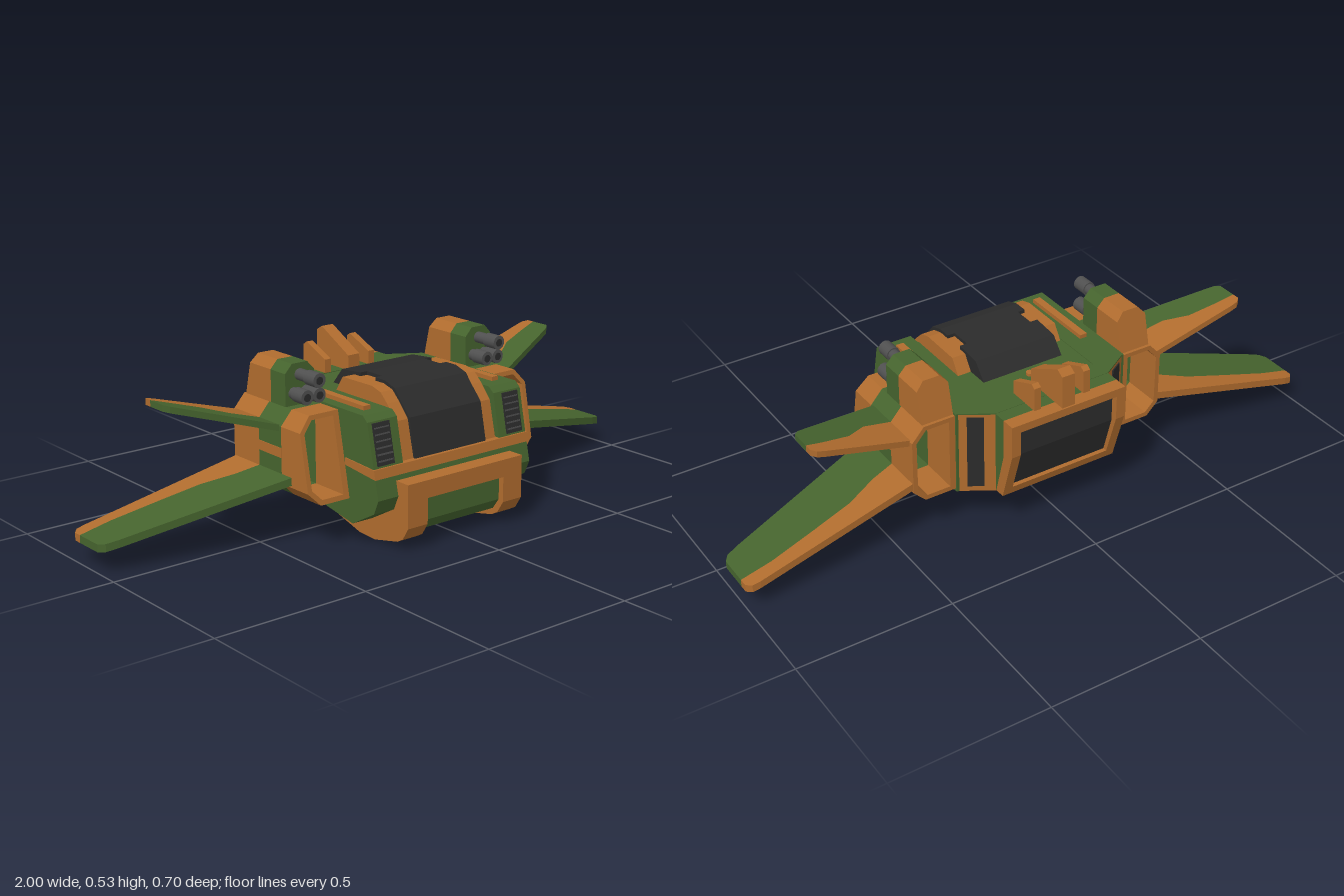
import * as THREE from 'three';

const paint = (name, color) => {
  const m = new THREE.MeshStandardMaterial({ color });
  m.name = name;
  return m;
};

export function createModel() {
  const green = paint('camouflage green', 0x46642e);
  const orange = paint('camouflage orange', 0xb06c2e);
  const dark = paint('dark glass', 0x2b2b2b);
  const gunmetal = paint('gunmetal', 0x505050);
  const root = new THREE.Group();
  root.name = 'gunship';

  const add = (name, geo, mat, parent = root) => {
    const mesh = new THREE.Mesh(geo, mat);
    mesh.name = name;
    parent.add(mesh);
    return mesh;
  };
  const shapeOf = (pts, sx = 1, sy = 1) =>
    new THREE.Shape(pts.map(([a, b]) => new THREE.Vector2(a * sx, b * sy)));
  const extrude = (shape, depth) => new THREE.ExtrudeGeometry(shape, { depth, bevelEnabled: false });
  // Side profile of [z, y] points, drawn out from x0 to x1
  const across = (pts, x0, x1) => extrude(shapeOf(pts, -1), x1 - x0).rotateY(Math.PI / 2).translate(x0, 0, 0);
  // Plan of [x, z] points, drawn up from y0 to y1
  const upward = (pts, y0, y1) => extrude(shapeOf(pts, 1, -1), y1 - y0).rotateX(-Math.PI / 2).translate(0, y0, 0);
  const box = (w, h, d, x, y, z) => new THREE.BoxGeometry(w, h, d).translate(x, y, z);

  // Hull: a centre recessed for the cockpit, with full-height flanks
  const belly = [[-0.205, 0.13], [0.0, 0.098], [0.19, 0.065], [0.29, 0.12], [0.31, 0.165], [0.29, 0.25]];
  add('hullCentre', across([...belly, [0.2, 0.25], [0.2, 0.405], [-0.205, 0.405]], -0.19, 0.19), green);
  add('noseBand', across([[0.294, 0.255], [0.3, 0.226], [0.16, 0.24], [0.16, 0.262]], -0.303, 0.303), orange);

  // Cockpit frame and wraparound canopy
  add('canopyFrame', across([[0.19, 0.25], [0.278, 0.25], [0.25, 0.37], [0.21, 0.415], [0.18, 0.443],
    [0.14, 0.454], [0.0, 0.452], [-0.035, 0.4]], -0.185, 0.185), orange);
  const glass = [[0.19, 0.25], [0.285, 0.25], [0.258, 0.375], [0.22, 0.415], [0.19, 0.45], [0.145, 0.464]];
  add('canopyFront', across([...glass, [0.1, 0.464], [0.1, 0.4]], -0.14, 0.14), dark);
  add('canopyWaist', across([[0.1, 0.4], [0.1, 0.464], [0.03, 0.464], [0.03, 0.4]], -0.115, 0.115), dark);
  add('canopyRear', across([[0.03, 0.4], [0.03, 0.464], [-0.06, 0.456], [-0.108, 0.4]], -0.14, 0.14), dark);

  // Chin between the skids
  add('chin', across([[0.3, 0.2], [0.335, 0.2], [0.335, 0.08], [0.31, 0.045], [0.2, 0.018], [0.13, 0.02],
    [-0.035, 0.062], [-0.035, 0.11]], -0.15, 0.15), green);
  add('chinBar', across([[0.28, 0.21], [0.354, 0.21], [0.354, 0.155], [0.3, 0.155]], -0.15, 0.15), orange);

  // Tapered rear section and exhaust housing
  const taper = [[-0.3, -0.2], [0.3, -0.2], [0.2, -0.262], [-0.2, -0.262]];
  add('rearTaper', upward(taper, 0.13, 0.403), orange);
  add('rearDeck', upward(taper, 0.403, 0.407), green);
  add('exhaustCollar', across([[-0.26, 0.133], [-0.265, 0.133], [-0.305, 0.28], [-0.305, 0.406],
    [-0.26, 0.406]], -0.2, 0.2), green);
  add('exhaustTopLip', across([[-0.305, 0.38], [-0.305, 0.406], [-0.35, 0.406], [-0.35, 0.38]], -0.17, 0.17), orange);
  add('exhaustBottomLip', across([[-0.265, 0.133], [-0.3, 0.133], [-0.308, 0.16], [-0.272, 0.16]], -0.17, 0.17), orange);
  add('exhaustScreen', across([[-0.27, 0.16], [-0.293, 0.16], [-0.328, 0.285], [-0.328, 0.38],
    [-0.3, 0.38], [-0.3, 0.28]], -0.17, 0.17), dark);
  add('centreFin', across([[-0.18, 0.4], [-0.18, 0.455], [-0.315, 0.525], [-0.34, 0.51], [-0.345, 0.4]],
    -0.022, 0.022), orange);
  add('deckCap', new THREE.CylinderGeometry(0.012, 0.012, 0.012, 12).translate(0, 0.408, -0.14), orange);

  // Intake pod section with a through tunnel; frontSlope leans its front edge back
  const podSection = (z0, z1, frontSlope = 0) => {
    const shape = shapeOf([[0.3, 0.14], [0.405, 0.14], [0.445, 0.18], [0.445, 0.355], [0.405, 0.4], [0.3, 0.4]]);
    shape.holes.push(new THREE.Path([[0.32, 0.155], [0.32, 0.386], [0.398, 0.386], [0.43, 0.35],
      [0.43, 0.187], [0.398, 0.155]].map(([x, y]) => new THREE.Vector2(x, y))));
    const geo = extrude(shape, z1 - z0).translate(0, 0, z0);
    const p = geo.attributes.position;
    for (let i = 0; i < p.count; i++) {
      if (p.getZ(i) > z1 - 0.001) p.setZ(i, z1 - frontSlope * (p.getY(i) - 0.14));
    }
    geo.computeVertexNormals();
    return geo;
  };

  // Wing: a flat plan sheared so it rises or falls from its root
  const wing = (pts, rootY, slope, thick) => {
    const geo = upward(pts, rootY - thick / 2, rootY + thick / 2);
    const p = geo.attributes.position;
    for (let i = 0; i < p.count; i++) p.setY(i, p.getY(i) + slope * (p.getX(i) - 0.43));
    geo.computeVertexNormals();
    return geo;
  };
  const lowerSeam = [[0.432, -0.07], [0.52, -0.09], [0.62, -0.13], [0.75, -0.152], [0.9, -0.175], [1, -0.178]];
  const upperSeam = [[0.432, -0.07], [0.54, -0.085], [0.61, -0.13], [0.7, -0.15], [0.76, -0.16]];

  for (const side of [1, -1]) {
    const half = new THREE.Group();
    half.name = side > 0 ? 'leftSide' : 'rightSide';
    half.scale.x = side;
    root.add(half);

    add('hullFlank', across([...belly, [0.26, 0.39], [0.24, 0.407], [-0.205, 0.407]], 0.19, 0.3), green, half);

    // Nose grille
    add('grille', across([[0.28, 0.262], [0.291, 0.262], [0.265, 0.385], [0.254, 0.385]], 0.222, 0.285), dark, half);
    for (let i = 0; i < 6; i++) {
      const y = 0.275 + i * 0.019;
      add('grilleSlat', box(0.056, 0.005, 0.008, 0.2535, y, 0.287 - (y - 0.265) * 0.214), gunmetal, half);
    }
    add('deckStrip', box(0.025, 0.02, 0.26, 0.252, 0.41, 0.07), orange, half);

    // Skid
    add('skid', across([[0.28, 0.21], [0.354, 0.21], [0.354, 0.075], [0.33, 0.037], [0.305, 0.023], [0.2, 0],
      [0.13, 0.003], [-0.038, 0.05], [-0.038, 0.11], [0.19, 0.08]], 0.15, 0.225), orange, half);

    // Intake pod
    add('podFront', podSection(0.04, 0.176, 0.2), orange, half);
    add('podMiddle', podSection(-0.072, 0.04), green, half);
    add('podRear', podSection(-0.2, -0.072), orange, half);
    add('podStripe', box(0.004, 0.03, 0.112, 0.445, 0.275, -0.016), orange, half);

    // Gun housing and its three barrels
    const housing = (pts, z0, z1, lean) => {
      const geo = extrude(shapeOf(pts), z1 - z0).translate(0, 0, z0);
      const p = geo.attributes.position;
      for (let i = 0; i < p.count; i++) {
        if (p.getZ(i) < z0 + 0.001) p.setZ(i, z0 + lean * (p.getY(i) - 0.4));
      }
      geo.computeVertexNormals();
      return geo;
    };
    const gunOutline = [[0.3, 0.39], [0.405, 0.39], [0.405, 0.5], [0.38, 0.527], [0.325, 0.527], [0.3, 0.5]];
    add('gunHousingFront', housing(gunOutline, -0.062, 0.01, 0), green, half);
    add('gunHousingRear', housing(gunOutline, -0.19, -0.062, 0.24), orange, half);
    for (const [x, y, tip] of [[0.353, 0.492, 0.107], [0.331, 0.438, 0.078], [0.376, 0.438, 0.078]]) {
      const tube = (r, len, end) =>
        new THREE.CylinderGeometry(r, r, len, 14).rotateX(Math.PI / 2).translate(x, y, end - len / 2);
      add('barrel', tube(0.018, tip, tip - 0.02), gunmetal, half);
      add('muzzle', tube(0.0225, 0.05, tip), gunmetal, half);
      add('bore', tube(0.012, 0.004, tip + 0.002), dark, half);
    }

    // Wings, split along the camouflage seam
    add('lowerWingFront', wing([...lowerSeam, [1, -0.08], [0.985, -0.06], [0.95, -0.047], [0.432, 0.092]],
      0.202, -0.22, 0.024), green, half);
    add('lowerWingRear', wing([...lowerSeam, [1, -0.205], [0.985, -0.222], [0.96, -0.224], [0.432, -0.195]],
      0.202, -0.22, 0.024), orange, half);
    add('upperWingFront', wing([...upperSeam, [0.76, -0.095], [0.745, -0.08], [0.72, -0.07], [0.432, 0.035]],
      0.345, 0.285, 0.02), green, half);
    add('upperWingRear', wing([...upperSeam, [0.76, -0.185], [0.745, -0.197], [0.72, -0.198], [0.432, -0.185]],
      0.345, 0.285, 0.02), orange, half);

    // Rear vent, exhaust cheek and small fin
    const vent = add('rearVent', new THREE.BoxGeometry(0.05, 0.245, 0.008), dark, half);
    vent.position.set(0.25, 0.272, -0.231);
    vent.rotation.y = Math.atan2(0.062, -0.1);
    add('exhaustCheek', across([[-0.265, 0.133], [-0.3, 0.133], [-0.35, 0.3], [-0.35, 0.406], [-0.305, 0.406],
      [-0.305, 0.28]], 0.17, 0.2), orange, half);
    add('smallFin', across([[-0.2, 0.4], [-0.2, 0.45], [-0.295, 0.49], [-0.31, 0.48], [-0.312, 0.4]],
      0.075, 0.098), orange, half);
  }
  return root;
}
